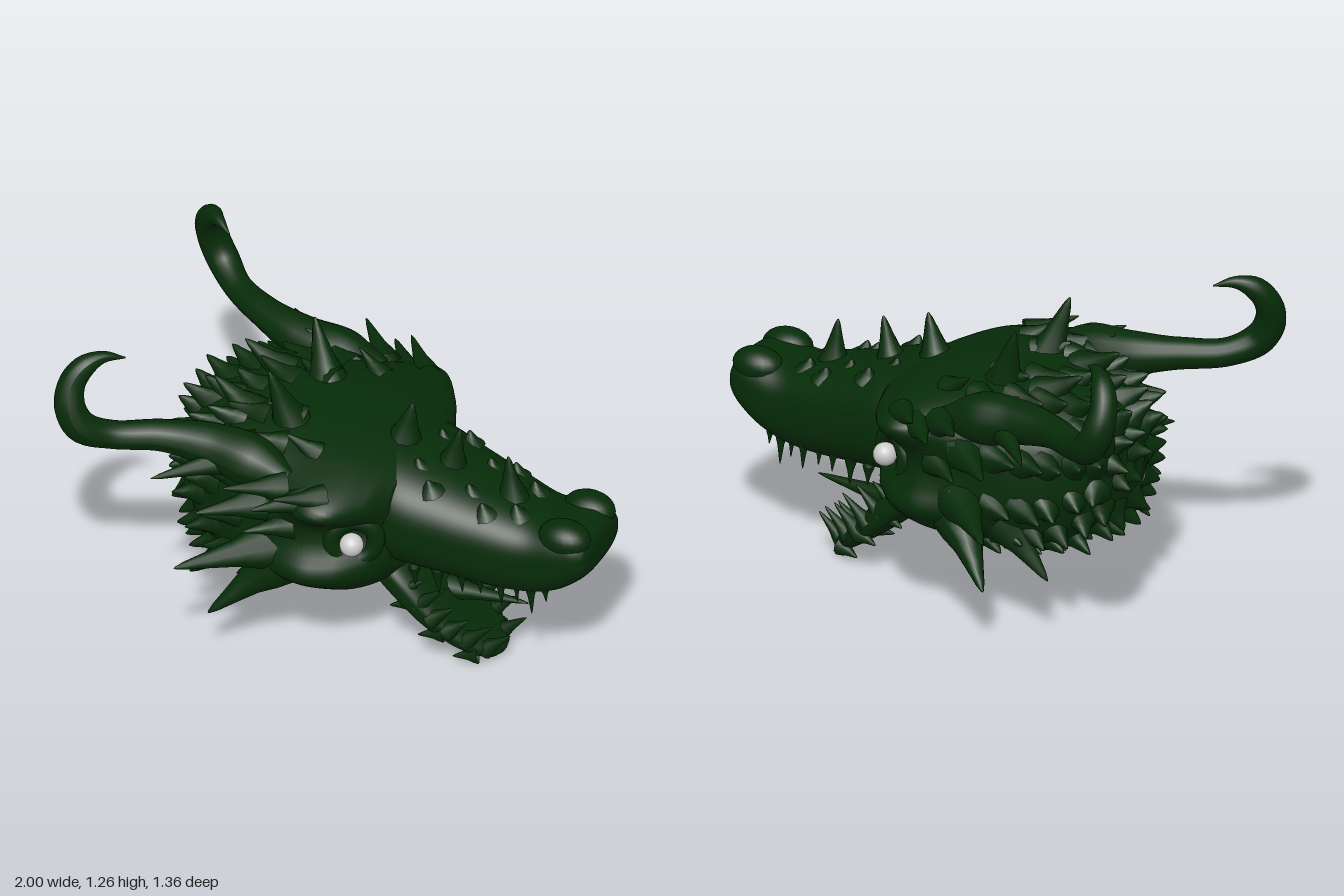
import * as THREE from 'three';

const V = (x, y, z) => new THREE.Vector3(x, y, z);
const hide = new THREE.MeshStandardMaterial({ color: 0x062b08, side: THREE.DoubleSide });
const eyeWhite = new THREE.MeshStandardMaterial({ color: 0xcccccc });

// flared unit spike, base at origin, pointing up +y
const spikeGeo = new THREE.LatheGeometry(
  [[1, -0.15], [0.8, 0.08], [0.52, 0.32], [0.33, 0.6], [0.16, 0.87], [0.05, 0.98], [0, 1]].map(p => new THREE.Vector2(...p)), 10);

function mesh(parent, name, geo, mat = hide) {
  const m = new THREE.Mesh(geo, mat);
  m.name = name;
  parent.add(m);
  return m;
}

function spike(parent, name, base, tip, r, flat = 1) {
  const m = mesh(parent, name, spikeGeo);
  const d = tip.clone().sub(base);
  m.position.copy(base);
  m.scale.set(r, d.length(), r * flat);
  m.quaternion.setFromUnitVectors(V(0, 1, 0), d.normalize());
}

// smooth skin through sections [x, bottom, top, halfWidth, squareness]
function skin(sections) {
  const a = new THREE.CatmullRomCurve3(sections.map(s => V(s[0], s[1], s[2])), false, 'centripetal');
  const b = new THREE.CatmullRomCurve3(sections.map(s => V(s[3], s[4], 0)), false, 'catmullrom', 0.4);
  const bend = (v, n) => Math.sign(v) * Math.pow(Math.abs(v), 2 / n);
  return (t, ang) => {
    const p = a.getPoint(t), q = b.getPoint(t);
    const mid = (p.y + p.z) / 2, h = (p.z - p.y) / 2;
    return V(p.x, mid + h * bend(Math.sin(ang), q.y), q.x * bend(Math.cos(ang), q.y));
  };
}

function loft(point, rows = 44, cols = 64) {
  const pos = [], idx = [];
  for (let i = 0; i <= rows; i++)
    for (let j = 0; j < cols; j++) pos.push(...point(i / rows, (j / cols) * Math.PI * 2).toArray());
  const ends = [0, 1].map(t => {
    pos.push(...point(t, Math.PI / 2).add(point(t, -Math.PI / 2)).multiplyScalar(0.5).toArray());
    return pos.length / 3 - 1;
  });
  for (let j = 0; j < cols; j++) {
    const k = (j + 1) % cols;
    for (let i = 0; i < rows; i++) {
      const a = i * cols + j, b = i * cols + k;
      idx.push(a, a + cols, b, b, a + cols, b + cols);
    }
    idx.push(ends[0], j, k, ends[1], rows * cols + k, rows * cols + j);
  }
  const g = new THREE.BufferGeometry();
  g.setAttribute('position', new THREE.Float32BufferAttribute(pos, 3));
  g.setIndex(idx);
  g.computeVertexNormals();
  return g;
}

// tube whose radius follows the fourth value of each [x, y, z, radius]
function taperedTube(pts, seg = 60, sides = 16) {
  const curve = new THREE.CatmullRomCurve3(pts.map(p => V(p[0], p[1], p[2])));
  const radii = new THREE.CatmullRomCurve3(pts.map(p => V(p[3], 0, 0)), false, 'catmullrom', 0.4);
  const g = new THREE.TubeGeometry(curve, seg, 1, sides);
  const pos = g.attributes.position, v = V(0, 0, 0);
  for (let i = 0; i <= seg; i++) {
    const c = curve.getPointAt(i / seg), r = radii.getPoint(curve.getUtoTmapping(i / seg)).x;
    for (let j = 0; j <= sides; j++) {
      const k = i * (sides + 1) + j;
      v.fromBufferAttribute(pos, k).sub(c).multiplyScalar(r).add(c);
      pos.setXYZ(k, v.x, v.y, v.z);
    }
  }
  g.computeVertexNormals();
  return g;
}

export function createModel() {
  const root = new THREE.Group();
  root.name = 'hornedReptileHead';
  let seed = 7;
  const rnd = () => (seed = (seed * 16807) % 2147483647) / 2147483647;

  // skull, with brow and cheek swelling out of the sides and a hollow for the eye
  const core = skin([
    [-0.67, 0.46, 0.8, 0.15, 2.2], [-0.62, 0.39, 0.86, 0.26, 2.3], [-0.52, 0.32, 0.91, 0.36, 2.5],
    [-0.4, 0.3, 0.94, 0.42, 2.7], [-0.22, 0.29, 0.95, 0.45, 2.9], [-0.05, 0.28, 0.94, 0.445, 3],
    [0.08, 0.29, 0.92, 0.41, 3], [0.18, 0.33, 0.88, 0.355, 2.8], [0.24, 0.39, 0.85, 0.28, 2.6]]);
  const hump = (v, c, w) => Math.exp(-(((v - c) / w) ** 2));
  const skull = (t, ang) => {
    const p = core(t, ang);
    p.z *= 1 + 0.42 * hump(p.y, 0.82, 0.1) * hump(p.x, 0.09, 0.2) + 0.17 * hump(p.y, 0.47, 0.09) * hump(p.x, 0, 0.22)
      - 0.13 * hump(p.y, 0.64, 0.09) * hump(p.x, 0.15, 0.12);
    return p;
  };
  mesh(root, 'skull', loft(skull, 60, 96));

  // upper snout
  mesh(root, 'snout', loft(skin([
    [0.1, 0.42, 0.9, 0.28, 2.5], [0.25, 0.42, 0.87, 0.295, 2.5], [0.42, 0.41, 0.82, 0.265, 2.5],
    [0.6, 0.4, 0.77, 0.23, 2.6], [0.75, 0.41, 0.735, 0.2, 2.7], [0.86, 0.45, 0.75, 0.192, 2.7],
    [0.94, 0.51, 0.75, 0.18, 2.7], [0.985, 0.56, 0.72, 0.155, 2.6], [0.997, 0.6, 0.69, 0.12, 2.4]])));

  // lower jaw, built straight and swung open
  const jaw = new THREE.Group();
  jaw.name = 'lowerJaw';
  jaw.position.set(0.2, 0.355, 0);
  jaw.rotation.z = -0.7;
  root.add(jaw);
  mesh(jaw, 'jawBone', loft(skin([
    [-0.1, -0.08, 0.06, 0.2, 3], [0.05, -0.08, 0.06, 0.21, 3], [0.2, -0.08, 0.04, 0.2, 3],
    [0.34, -0.07, 0.02, 0.165, 2.8], [0.44, -0.06, 0.02, 0.115, 2.5], [0.495, -0.045, 0.015, 0.06, 2.2],
    [0.51, -0.02, 0.0, 0.02, 2]])));
  spike(jaw, 'tongueSpike', V(0.19, 0.01, 0), V(0.43, 0.25, 0), 0.06);

  // spines along the middle of the snout
  for (const [x, y, tx, top, r] of [[0.16, 0.85, 0.2, 1.045, 0.095], [0.36, 0.8, 0.4, 0.985, 0.08], [0.62, 0.74, 0.6, 0.925, 0.075]])
    spike(root, 'snoutSpine', V(x, y, 0), V(tx, top, 0), r);

  for (const s of [1, -1]) {
    const P = (x, y, z) => V(x, y, z * s);
    const tag = s > 0 ? 'left' : 'right';

    // long horn, bowing outward low down and hooking inward at the tip
    mesh(root, tag + 'Horn', taperedTube([
      [-0.12, 0.84, 0.4, 0.04], [-0.28, 0.865, 0.38, 0.1], [-0.46, 0.89, 0.385, 0.085], [-0.64, 0.91, 0.44, 0.062],
      [-0.8, 0.92, 0.53, 0.055], [-0.895, 0.97, 0.6, 0.062], [-0.94, 1.05, 0.608, 0.06], [-0.947, 1.14, 0.58, 0.052],
      [-0.915, 1.205, 0.54, 0.044], [-0.86, 1.235, 0.49, 0.024], [-0.79, 1.222, 0.44, 0.003]
    ].map(([x, y, z, r]) => [x, y, z * s, r])));

    // eye with lid ring
    mesh(root, tag + 'Eye', new THREE.SphereGeometry(0.046, 24, 16), eyeWhite).position.copy(P(0.14, 0.625, 0.4));
    const lid = mesh(root, tag + 'EyeLid', new THREE.TorusGeometry(0.085, 0.035, 12, 32));
    lid.position.copy(P(0.125, 0.615, 0.352));
    lid.lookAt(P(0.6, 0.615, 1.2));

    // nostril mound
    const nostril = mesh(root, tag + 'Nostril', new THREE.SphereGeometry(0.08, 20, 14));
    nostril.position.copy(P(0.89, 0.71, 0.105));
    nostril.scale.set(1.3, 0.85, 0.97);

    // large spikes: [base, tip, radius]
    for (const [b, t, r] of [
      [[-0.23, 0.9, 0.15], [-0.31, 1.155, 0.195], 0.1],
      [[-0.22, 0.52, 0.43], [-0.47, 0.5, 0.68], 0.1],
      [[-0.2, 0.42, 0.4], [-0.39, 0.235, 0.55], 0.11],
      [[-0.38, 0.42, 0.34], [-0.56, 0.25, 0.36], 0.09],
      [[-0.4, 0.85, 0.41], [-0.6, 0.83, 0.61], 0.065],
      [[-0.15, 0.84, 0.46], [-0.3, 0.88, 0.61], 0.06],
      [[-0.05, 0.81, 0.47], [-0.18, 0.82, 0.615], 0.06],
      [[0.02, 0.84, 0.46], [-0.1, 0.88, 0.59], 0.055],
      [[-0.25, 0.72, 0.44], [-0.42, 0.72, 0.6], 0.075],
      [[-0.12, 0.66, 0.44], [-0.25, 0.65, 0.54], 0.06],
      [[-0.3, 0.9, 0.36], [-0.42, 0.97, 0.34], 0.05],
      [[-0.08, 0.91, 0.28], [-0.18, 0.98, 0.31], 0.05],
      [[-0.42, 0.91, 0.14], [-0.57, 1.01, 0.13], 0.08]])
      spike(root, tag + 'HeadSpike', P(...b), P(...t), r);

    // small knobs on the snout roof
    for (const [x, y, z] of [[0.28, 0.83, 0.1], [0.49, 0.77, 0.09], [0.68, 0.73, 0.08], [0.36, 0.8, 0.17], [0.57, 0.74, 0.14]])
      spike(root, 'snoutKnob', P(x, y, z), P(x - 0.01, y + 0.05, z * 1.05), 0.055);

    // upper teeth: short ones behind, fangs near the tip [x, tip height, radius]
    for (const [x, tip, r] of [[0.32, 0.39, 0.024], [0.41, 0.365, 0.026], [0.5, 0.39, 0.02], [0.57, 0.395, 0.018],
      [0.65, 0.355, 0.024], [0.71, 0.385, 0.018], [0.765, 0.34, 0.026], [0.82, 0.405, 0.018]]) {
      const z = 0.235 - (x - 0.3) * 0.2;
      spike(root, 'upperTooth', P(x, 0.46, z), P(x + 0.005, tip, z), r);
    }

    // lower teeth and side barbs of the jaw
    for (let i = 0; i < 6; i++) {
      const x = 0.07 + i * 0.077, z = i < 3 ? 0.17 : 0.17 - Math.pow((i - 2) / 3, 1.5) * 0.105;
      spike(jaw, 'lowerTooth', P(x, 0.0, z), P(x + 0.02, 0.09 + 0.06 * rnd(), z), 0.04);
      if (i % 2 === 0) spike(jaw, 'jawBarb', P(x + 0.06, -0.04, z - 0.01), P(x + 0.01, -0.1, z + 0.02), 0.04);
    }
  }

  // overlapping pointed scales covering the back of the skull
  for (let row = 0; row < 6; row++) {
    const t = 0.07 + row * 0.085, n = 11 + row;
    for (let i = 0; i < n; i++) {
      const ang = ((i + (row % 2) / 2) / n) * Math.PI * 2;
      const base = skull(t, ang);
      const out = V(0, base.y - 0.62, base.z).normalize();
      const tip = base.clone().addScaledVector(out, 0.02 + 0.03 * rnd()).add(V(-0.08 - 0.06 * rnd(), 0, 0));
      tip.x = Math.max(tip.x, -0.76 + 0.9 * tip.z ** 2 + 0.6 * (tip.y - 0.68) ** 2);
      spike(root, 'neckScale', base.addScaledVector(out, -0.025), tip, 0.08, 0.8);
    }
  }
  // inner scales closing the nape
  for (let i = 0; i < 6; i++) {
    const a = (i / 6) * Math.PI * 2, y = Math.sin(a) * 0.09, z = Math.cos(a) * 0.08;
    spike(root, 'napeScale', V(-0.66, 0.65 + y, z), V(-0.71 - 0.05 * rnd(), 0.65 + y * 1.3, z * 1.3), 0.06);
  }

  return root;
}
